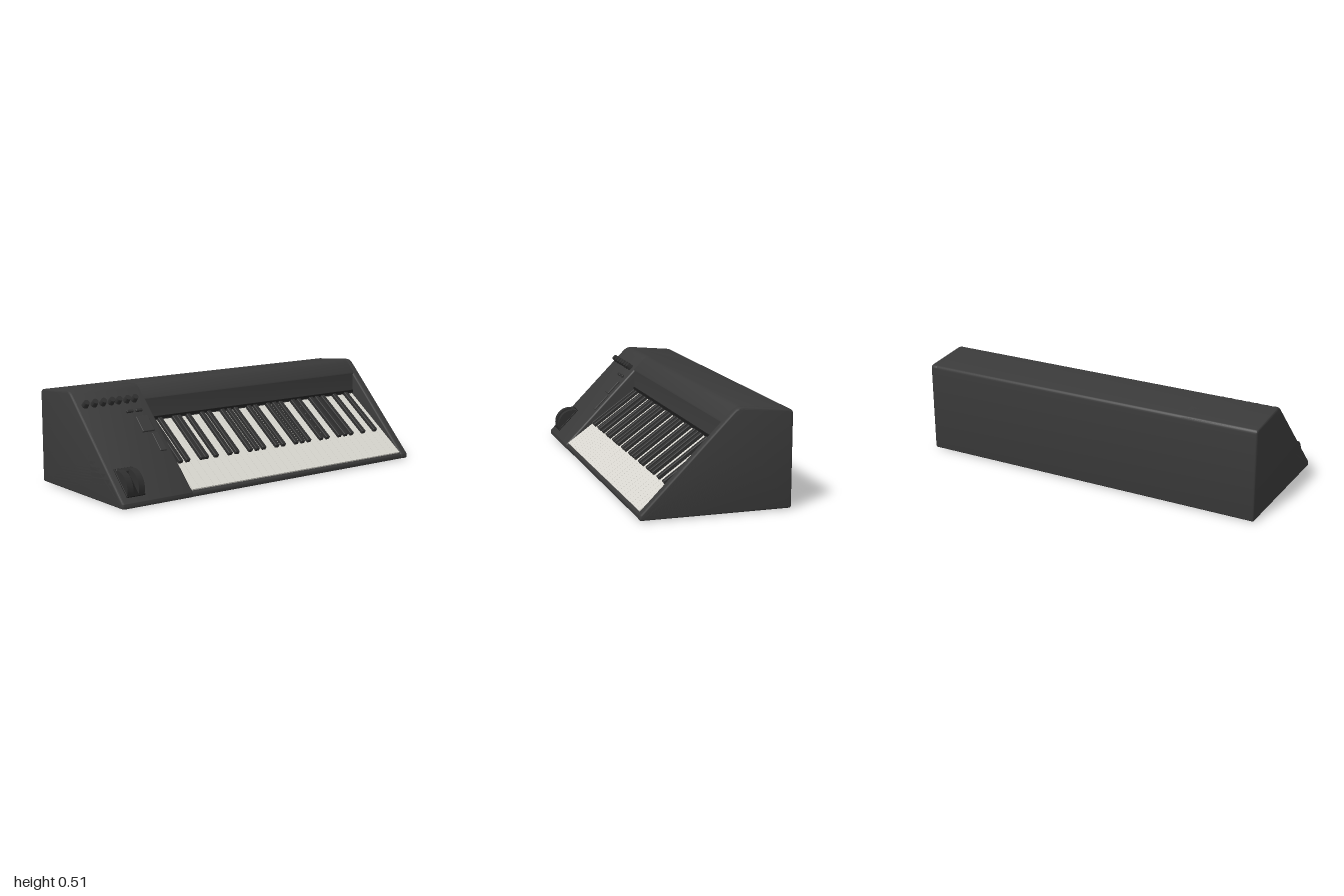
import * as THREE from 'three';
import { toCreasedNormals } from 'three/addons/utils/BufferGeometryUtils.js';
import { RoundedBoxGeometry } from 'three/addons/geometries/RoundedBoxGeometry.js';

const mat = (name, color) => {
  const m = new THREE.MeshStandardMaterial({ color });
  m.name = name;
  return m;
};

// Closed outline from [depth, height, cornerRadius] points
function roundedShape(points) {
  const s = new THREE.Shape();
  const n = points.length;
  const P = points.map(([w, y]) => new THREE.Vector2(-w, y));
  points.forEach(([, , r], i) => {
    const p = P[i];
    const toward = (q) => p.clone().add(q.clone().sub(p).setLength(r));
    const a = toward(P[(i + n - 1) % n]);
    const b = toward(P[(i + 1) % n]);
    if (i === 0) s.moveTo(a.x, a.y); else s.lineTo(a.x, a.y);
    s.quadraticCurveTo(p.x, p.y, b.x, b.y);
  });
  s.closePath();
  return s;
}

// Profile swept along x from x0 to x1 with softened ends
function sweep(points, x0, x1, bevel) {
  const g = new THREE.ExtrudeGeometry(roundedShape(points), {
    depth: x1 - x0 - 2 * bevel, curveSegments: 5,
    bevelEnabled: true, bevelSize: bevel, bevelThickness: bevel, bevelOffset: -bevel, bevelSegments: 3,
  });
  g.rotateY(Math.PI / 2);
  g.translate(x0 + bevel, 0, 0);
  return toCreasedNormals(g, 0.6);
}

export function createModel() {
  const model = new THREE.Group();
  model.name = 'keyboard';
  const bodyMat = mat('charcoal casing', 0x3a3a3a);
  const whiteMat = mat('ivory keys', 0xd9d7d0);
  const blackMat = mat('black keys', 0x2f2f2f);
  const darkMat = mat('dark trim', 0x1c1c1c);

  const add = (parent, name, geo, material, x = 0, y = 0, z = 0) => {
    const m = new THREE.Mesh(geo, material);
    m.name = name;
    m.position.set(x, y, z);
    parent.add(m);
    return m;
  };

  // The whole instrument stands turned slightly to one side
  const unit = new THREE.Group();
  unit.name = 'instrument';
  unit.rotation.y = -0.142;
  model.add(unit);

  // Casing: full-length core with a key bed, plus full-profile blocks at both ends
  const half = 0.955, bedLeft = -0.542, bedRight = 0.908;
  const back = [[-0.1, 0.517, 0.028], [-0.381, 0.49, 0.02], [-0.381, 0.004, 0.012]];
  const full = [[0.381, 0.004, 0.008], [0.381, 0.03, 0.008], ...back];
  const core = [[0.377, 0.004, 0.006], [0.377, 0.026, 0.004], [-0.03, 0.31, 0.004], [-0.03, 0.446, 0.004], ...back];
  add(unit, 'casing', sweep(core, -half, half, 0.01), bodyMat);
  add(unit, 'controlPanelBlock', sweep(full, -half, bedLeft, 0.01), bodyMat);
  add(unit, 'endCheek', sweep(full, bedRight, half, 0.01), bodyMat);

  // Small feet
  for (const x of [-0.35, 0.35]) for (const z of [-0.25, 0.25]) {
    add(unit, 'foot', new THREE.CylinderGeometry(0.014, 0.014, 0.006, 16), darkMat, x, 0.003, z);
  }

  // Keys: local -z runs up the key bed, +y points out of it
  const keys = new THREE.Group();
  keys.name = 'keys';
  keys.position.set(0, 0.042, 0.37);
  keys.rotation.x = Math.atan2(0.286, 0.4);
  unit.add(keys);
  const keyLength = 0.488, count = 32, pitch = (bedRight - bedLeft - 0.008) / count;
  const whiteGeo = new THREE.BoxGeometry(pitch - 0.0015, 0.018, keyLength);
  for (let i = 0; i < count; i++) {
    add(keys, 'whiteKey', whiteGeo, whiteMat, bedLeft + 0.004 + (i + 0.5) * pitch, -0.009, -keyLength / 2);
  }
  const blackLength = 0.312;
  const blackGeo = new RoundedBoxGeometry(0.026, 0.026, blackLength, 2, 0.004);
  const blackSlots = [0, 1, 3, 3.6, 5, 7, 8, 10, 11, 12, 14, 15, 17, 18, 19, 21, 22, 24, 25, 26, 28, 30];
  for (const k of blackSlots) {
    add(keys, 'blackKey', blackGeo, blackMat, -0.509 + k * 0.0451, 0.006, -keyLength + blackLength / 2);
  }
  // Dark strip behind the keys
  add(unit, 'keyStrip', new THREE.BoxGeometry(bedRight - bedLeft, 0.016, 0.006), darkMat,
    (bedLeft + bedRight) / 2, 0.338, -0.028);

  // Controls: local -z runs up the sloping panel, +y points out of it
  const panel = new THREE.Group();
  panel.name = 'controls';
  panel.position.set(0, 0.03, 0.381);
  panel.rotation.x = Math.atan2(0.487, 0.481);
  unit.add(panel);

  // Row of knobs
  const knobGeo = toCreasedNormals(new THREE.CylinderGeometry(0.015, 0.018, 0.032, 20), 0.6);
  for (const x of [-0.905, -0.854, -0.804, -0.755, -0.712, -0.662, -0.617]) {
    add(panel, 'knob', knobGeo, blackMat, x, 0.014, -0.584);
  }
  // Buttons and raised panels
  const plate = (name, x, v, w, l, h, m) =>
    add(panel, name, new RoundedBoxGeometry(w, h, l, 2, h * 0.3), m, x, h / 2 - 0.002, -v);
  plate('button', -0.675, 0.515, 0.04, 0.015, 0.014, blackMat);
  plate('button', -0.62, 0.515, 0.04, 0.015, 0.014, blackMat);
  plate('displayPanel', -0.622, 0.43, 0.072, 0.095, 0.012, bodyMat);
  plate('sliderPanel', -0.592, 0.315, 0.038, 0.11, 0.01, bodyMat);

  // Pair of control wheels in a dark well
  const wheelGeo = new THREE.CylinderGeometry(0.085, 0.085, 0.034, 32);
  wheelGeo.rotateZ(Math.PI / 2);
  const wheelSmooth = toCreasedNormals(wheelGeo, 0.6);
  plate('wheelWell', -0.864, 0.115, 0.105, 0.165, 0.008, darkMat);
  for (const x of [-0.897, -0.831]) {
    add(panel, 'controlWheel', wheelSmooth, blackMat, x, -0.035, -0.115);
  }
  plate('wheelBridge', -0.864, 0.18, 0.1, 0.025, 0.018, blackMat);

  return model;
}
